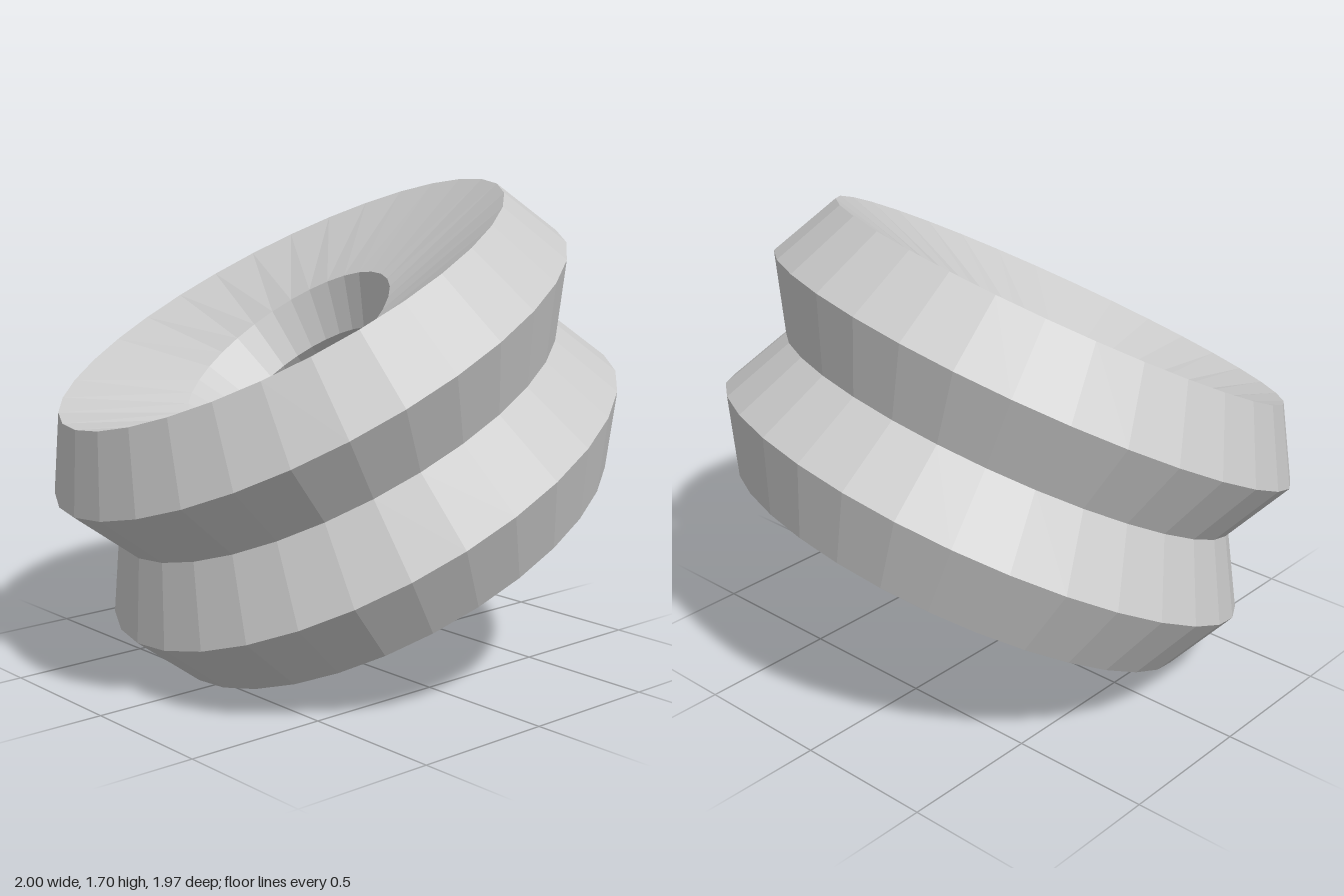
import * as THREE from 'three';

export function createModel() {
  const model = new THREE.Group();
  model.name = 'doubleRing';

  // Upper half of the closed cross-section: [radius, height along the axis]
  const waist = [0.841, 0];  // groove around the outside
  const groove = [0.418, 0]; // groove inside the bore
  const half = [
    [0.974, 0.232], // outer rim
    [0.841, 0.464], // top ridge
    [0.407, 0.315], // mouth of the bore
    [0.31, 0.16],   // narrowest part of the bore
  ];
  const mirrored = half.map(([r, h]) => [r, -h]).reverse();
  const profile = [waist, ...half, groove, ...mirrored, waist].map(([r, h]) => new THREE.Vector2(r, h));
  const geometry = new THREE.LatheGeometry(profile, 32);

  // Tilt the body; the bore leans a little further to the front
  const axis = new THREE.Vector3(-0.155, 0.898, 0.41).normalize();
  const bodyTilt = new THREE.Quaternion().setFromUnitVectors(new THREE.Vector3(0, 1, 0), axis);
  const boreTilt = new THREE.Quaternion()
    .setFromAxisAngle(new THREE.Vector3(1, 0, 0), THREE.MathUtils.degToRad(8))
    .multiply(bodyTilt);
  const position = geometry.attributes.position;
  const v = new THREE.Vector3();
  for (let i = 0; i < position.count; i++) {
    v.fromBufferAttribute(position, i);
    v.applyQuaternion(Math.hypot(v.x, v.z) < 0.6 ? boreTilt : bodyTilt);
    position.setXYZ(i, v.x, v.y * 1.08, v.z); // rings are slightly taller than round
  }

  // Stand on the ground
  geometry.center();
  geometry.translate(0, geometry.boundingBox.max.y, 0);
  geometry.computeBoundingBox();
  geometry.translate(0, -geometry.boundingBox.min.y, 0);
  geometry.computeVertexNormals();

  const material = new THREE.MeshStandardMaterial({ color: 0xcccccc, flatShading: true });
  const rings = new THREE.Mesh(geometry, material);
  rings.name = 'stackedRings';
  model.add(rings);
  return model;
}
